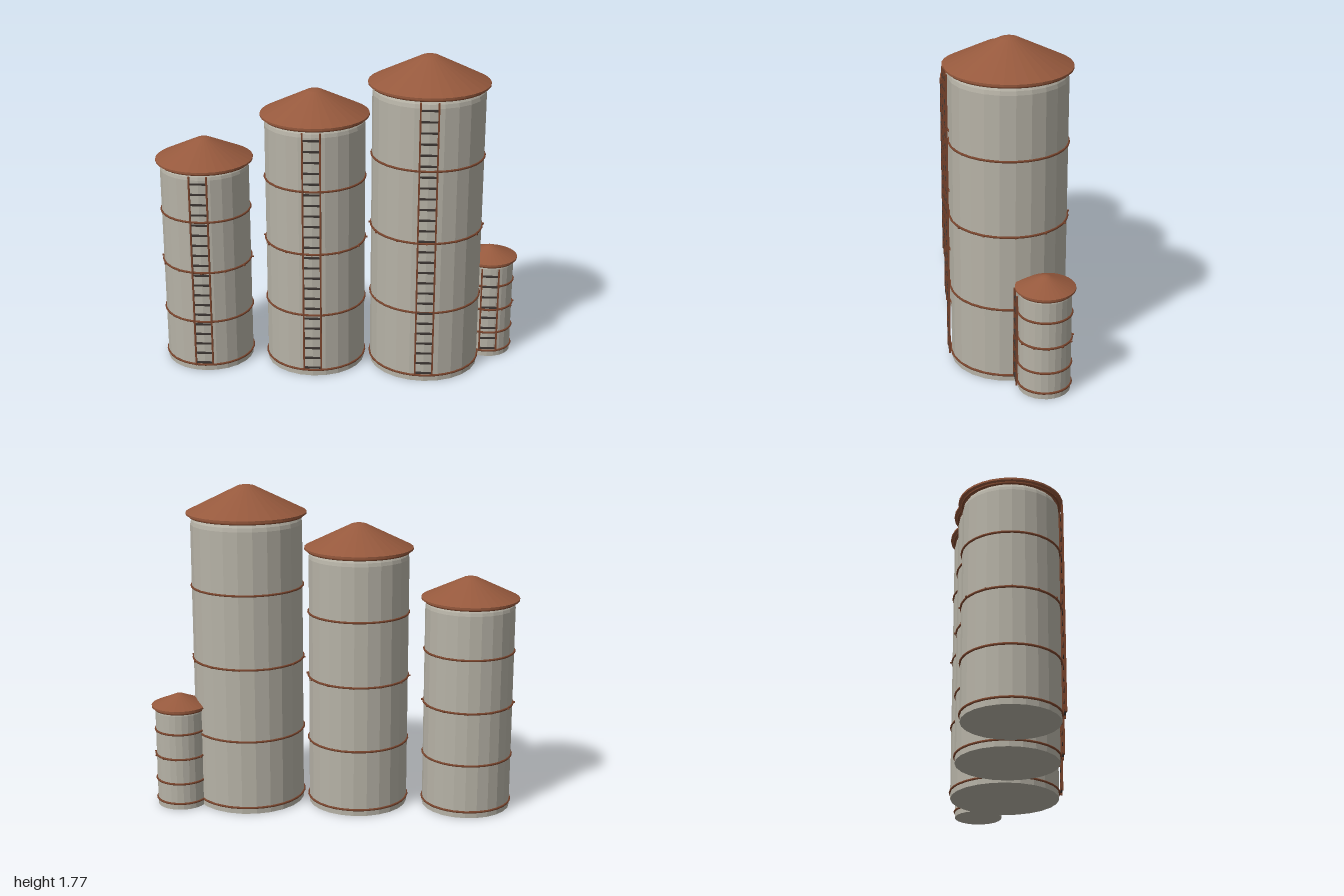
import * as THREE from 'three';

const mat = (name, color) => {
  const m = new THREE.MeshStandardMaterial({ color });
  m.name = name;
  return m;
};

// Faceted surface of revolution from [radius, y] pairs, bottom to top
function facetedLathe(points, sides) {
  const g = new THREE.LatheGeometry(points.map(([r, y]) => new THREE.Vector2(r, y)), sides).toNonIndexed();
  g.computeVertexNormals();
  return g;
}

export function createModel() {
  const steel = mat('galvanised steel', 0xb6b2a6);
  const rust = mat('rust red roof', 0x96593d);
  const trim = mat('dark rust trim', 0x7a452d);
  const iron = mat('dark iron', 0x3a3431);

  const model = new THREE.Group();
  model.name = 'siloCluster';

  const add = (parent, name, geometry, material, x = 0, y = 0, z = 0) => {
    const mesh = new THREE.Mesh(geometry, material);
    mesh.name = name;
    mesh.position.set(x, y, z);
    parent.add(mesh);
    return mesh;
  };

  function silo({ name, x, z, r, roofR, eave, apex, bands }) {
    const group = new THREE.Group();
    group.name = name;
    group.position.set(x, 0, z);
    model.add(group);

    // Tank with closed floor and a rounded shoulder under the roof
    const s = r * 0.05;
    const top = eave - 0.005;
    add(group, 'tank', facetedLathe([
      [0, 0], [r, 0], [r, top - 3.4 * s], [r - 0.3 * s, top - 2 * s],
      [r - s, top - 0.8 * s], [r - 2 * s, top], [0, top],
    ], 24), steel);

    // Conical roof with a thin eave and a blunted tip
    const rise = apex - eave;
    add(group, 'roof', facetedLathe([
      [0, eave - 0.004], [roofR, eave - 0.004], [roofR, eave + 0.006],
      [roofR * 0.14, eave + rise * 0.95], [roofR * 0.06, apex - rise * 0.01], [0, apex],
    ], 32), rust);

    // Hoops around the tank
    bands.forEach((y) => {
      const hoop = add(group, 'hoop', new THREE.TorusGeometry(r + 0.002, 0.006, 6, 32), trim, 0, y, 0);
      hoop.rotation.x = Math.PI / 2;
    });

    // Bolts on the middle hoop
    for (let i = 0; i < 12; i++) {
      const a = (i / 12) * Math.PI * 2;
      const bolt = add(group, 'bolt', new THREE.BoxGeometry(0.01, 0.008, 0.008), trim,
        Math.cos(a) * (r + 0.009), bands[2], Math.sin(a) * (r + 0.009));
      bolt.rotation.y = -a;
    }

    // Ladder up the front
    const ladder = new THREE.Group();
    ladder.name = 'ladder';
    ladder.position.z = r + 0.015;
    group.add(ladder);
    const low = 0.04;
    const high = eave - 0.02;
    for (const side of [-1, 1]) {
      add(ladder, 'ladderRail', new THREE.BoxGeometry(0.009, high - low, 0.011), trim,
        side * 0.047, (low + high) / 2, 0);
    }
    const count = Math.round((high - low) / 0.06);
    for (let i = 0; i < count; i++) {
      add(ladder, 'ladderRung', new THREE.BoxGeometry(0.09, 0.009, 0.009), iron,
        0, low + ((i + 0.3) * (high - low)) / count, 0);
    }
  }

  silo({ name: 'mediumSilo', x: -0.735, z: 0, r: 0.243, roofR: 0.265, eave: 1.175, apex: 1.295,
    bands: [0.035, 0.3, 0.595, 0.89, 1.163] });
  silo({ name: 'largeSilo', x: -0.13, z: 0, r: 0.273, roofR: 0.295, eave: 1.438, apex: 1.575,
    bands: [0.035, 0.37, 0.73, 1.088, 1.425] });
  silo({ name: 'tallestSilo', x: 0.48, z: 0, r: 0.303, roofR: 0.326, eave: 1.62, apex: 1.772,
    bands: [0.035, 0.415, 0.82, 1.225, 1.607] });
  silo({ name: 'smallSilo', x: 0.845, z: -0.145, r: 0.135, roofR: 0.154, eave: 0.568, apex: 0.634,
    bands: [0.035, 0.15, 0.292, 0.435, 0.555] });

  return model;
}
